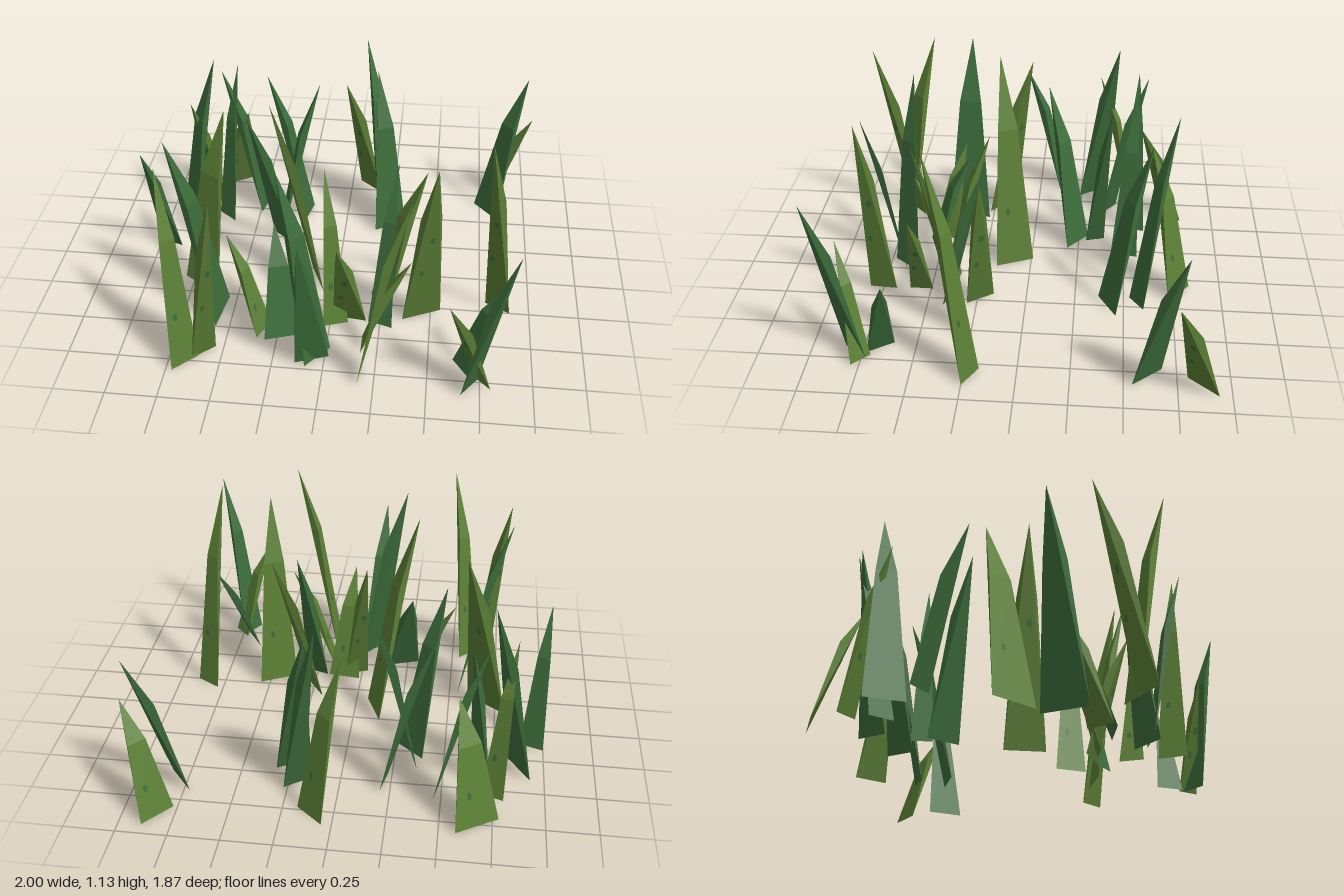
import * as THREE from 'three';

// Each blade: two base corners (x, z), tip (x, z) and tip height
const OLIVE = [
  [-0.58, -0.82, -0.78, -0.70, -0.56, -0.57, 0.60],
  [-0.80, -0.57, -0.69, -0.53, -0.82, -0.34, 0.78],
  [-0.80, 0.13, -0.60, 0.27, -0.56, 0.02, 0.98],
  [-0.30, 0.43, -0.35, 0.56, -0.51, 0.38, 0.50],
  [-0.14, -0.01, -0.06, 0.18, -0.31, 0.17, 1.12],
  [0.09, 0.40, -0.03, 0.44, -0.05, 0.20, 0.80],
  [0.01, 0.36, 0.18, 0.38, 0.05, 0.58, 0.60],
  [0.19, 0.17, 0.28, 0.30, 0.45, 0.20, 0.81],
  [0.55, 0.26, 0.36, 0.35, 0.50, 0.50, 1.03],
  [0.17, 0.49, 0.17, 0.61, 0.40, 0.56, 0.55],
  [0.18, 0.68, 0.17, 0.82, 0.40, 0.78, 1.07],
  [0.05, -0.84, 0.18, -0.73, -0.02, -0.61, 0.79],
  [-0.61, 0.71, -0.72, 0.82, -0.77, 0.58, 1.01],
  [-0.54, 0.64, -0.64, 0.73, -0.46, 0.86, 1.06],
  [0.78, 0.18, 0.90, 0.25, 0.73, 0.41, 1.13],
  [0.72, 0.71, 0.80, 0.79, 0.58, 0.87, 0.56],
  [0.89, -0.94, 0.77, -0.80, 1.0, -0.72, 0.56],
];
const GREEN = [
  [-1.0, -0.16, -0.88, -0.12, -0.99, 0.08, 0.73],
  [-0.93, -0.40, -0.82, -0.24, -0.70, -0.44, 1.0],
  [-0.73, -0.45, -0.63, -0.37, -0.61, -0.60, 0.88],
  [-0.46, -0.61, -0.49, -0.47, -0.69, -0.55, 0.87],
  [-0.20, -0.57, -0.23, -0.43, -0.44, -0.54, 0.86],
  [-0.37, -0.39, -0.34, -0.29, -0.14, -0.41, 0.90],
  [-0.39, -0.30, -0.26, -0.19, -0.47, -0.07, 0.88],
  [-0.54, 0.27, -0.57, 0.50, -0.78, 0.37, 1.01],
  [-0.13, 0.51, -0.31, 0.57, -0.28, 0.33, 0.55],
  [0.19, 0.38, 0.31, 0.42, 0.31, 0.18, 0.84],
  [0.27, -0.60, 0.17, -0.53, 0.08, -0.73, 1.01],
  [0.33, -0.46, 0.17, -0.37, 0.15, -0.61, 0.88],
  [0.02, 0.59, -0.09, 0.73, -0.22, 0.60, 1.05],
  [-0.14, 0.71, 0.02, 0.65, -0.09, 0.87, 0.84],
  [0.62, 0.61, 0.70, 0.73, 0.86, 0.60, 0.50],
  [0.74, 0.73, 0.66, 0.84, 0.86, 0.93, 0.92],
  [0.72, -0.68, 0.84, -0.54, 0.96, -0.75, 0.80],
];

// Spots as [across, up, radius] on the outer and the inner face
const OUTER_SPOTS = [[0.35, 0.4, 0.014]];
const INNER_SPOTS = [[0.3, 0.33, 0.014], [0.62, 0.55, 0.016]];

function bladeCorners([ax, az, bx, bz, tx, tz, h]) {
  let a = new THREE.Vector3(ax, 0, az);
  let b = new THREE.Vector3(bx, 0, bz);
  const tip = new THREE.Vector3(tx, h, tz);
  // Order the base so that the outer face looks away from the lean
  const outward = b.clone().sub(a).cross(new THREE.Vector3(0, 1, 0));
  if (outward.dot(tip.clone().sub(a)) > 0) [a, b] = [b, a];
  // The outer face bends: halfway out it has reached two thirds of its height
  const bend = (p) => {
    const m = p.clone().lerp(tip, 0.48);
    m.y = h * 0.67;
    return m;
  };
  return { a, b, c: bend(b), d: bend(a), tip };
}

// Bent outer face, flat inner face and the two slim sides between them
function bladeGeometry({ a, b, c, d, tip }) {
  const geo = new THREE.BufferGeometry().setFromPoints([
    a, b, c, a, c, d, d, c, tip,
    b, a, tip,
    a, d, tip, b, tip, c,
  ]);
  geo.computeVertexNormals();
  return geo;
}

// Small blotch lying on a face with bottom corners l, r and top corners tl, tr
function spotGeometry([l, r, tl, tr], [u, v, radius]) {
  const across = r.clone().sub(l).normalize();
  const normal = across.clone().cross(tl.clone().sub(l)).normalize();
  const up = normal.clone().cross(across);
  const centre = l.clone().lerp(r, u).lerp(tl.clone().lerp(tr, u), v);
  centre.addScaledVector(normal, 0.003);
  const geo = new THREE.CircleGeometry(radius, 7);
  geo.scale(0.9, 1.5, 1);
  geo.applyMatrix4(new THREE.Matrix4().makeBasis(across, up, normal).setPosition(centre));
  return geo;
}

export function createModel() {
  const make = (name, color) => {
    const m = new THREE.MeshStandardMaterial({ color, flatShading: true });
    m.name = name;
    return m;
  };
  const olive = make('oliveGreen', 0x5c8036);
  const green = make('deepGreen', 0x3d6d3b);

  const model = new THREE.Group();
  model.name = 'grassPatch';

  const addBlade = (row, material, name) => {
    const blade = new THREE.Group();
    blade.name = name;
    const corners = bladeCorners(row);
    const leaf = new THREE.Mesh(bladeGeometry(corners), material);
    leaf.name = 'leaf';
    blade.add(leaf);
    model.add(blade);
    return { blade, corners };
  };

  OLIVE.forEach((row, i) => {
    const { blade, corners: { a, b, c, d, tip } } = addBlade(row, olive, `oliveBlade${i + 1}`);
    const addSpots = (face, spots) => spots.forEach((spot) => {
      const mesh = new THREE.Mesh(spotGeometry(face, spot), green);
      mesh.name = 'spot';
      blade.add(mesh);
    });
    addSpots([a, b, d, c], OUTER_SPOTS);
    addSpots([b, a, tip, tip], INNER_SPOTS);
  });
  GREEN.forEach((row, i) => addBlade(row, green, `greenBlade${i + 1}`));
  return model;
}
